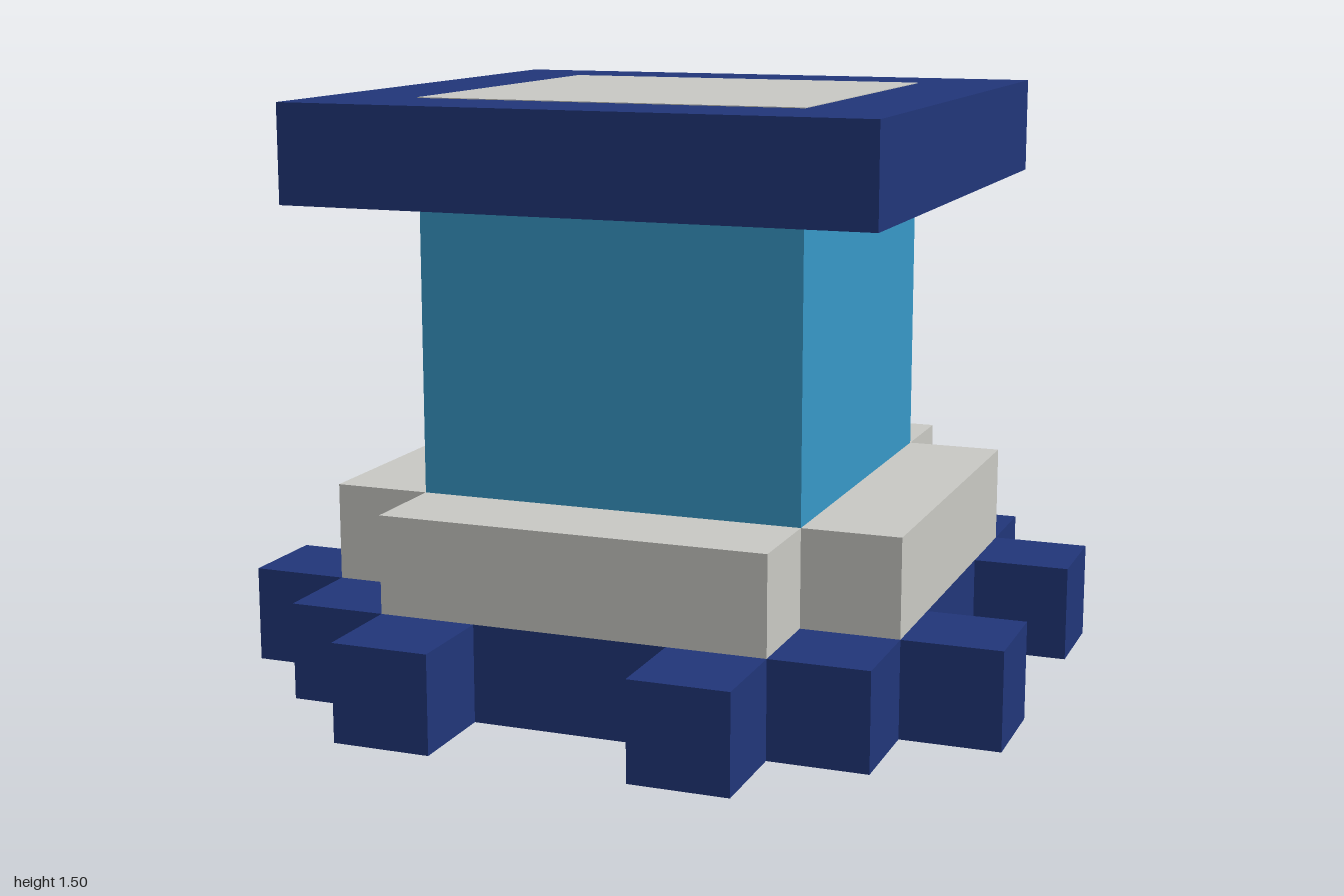
import * as THREE from 'three';

const material = (name, color) => {
  const m = new THREE.MeshStandardMaterial({ color });
  m.name = name;
  return m;
};

const shapeFrom = (points) => new THREE.Shape(points.map(([x, y]) => new THREE.Vector2(x, y)));

// Repeat one quarter of an outline around the vertical axis
function fourfold(quarter) {
  const points = [];
  for (let i = 0; i < 4; i++) {
    for (const [x, y] of quarter) {
      points.push([[x, y], [-y, x], [-x, -y], [y, -x]][i]);
    }
  }
  return points;
}

// Upright prism on a ground-plan outline
function prism(points, bottom, top) {
  const geometry = new THREE.ExtrudeGeometry(shapeFrom(points), { depth: top - bottom, bevelEnabled: false });
  return geometry.rotateX(-Math.PI / 2).translate(0, bottom, 0);
}

function box(size, bottom, top) {
  return new THREE.BoxGeometry(size, top - bottom, size).translate(0, (bottom + top) / 2, 0);
}

export function createModel() {
  const navy = material('navy', 0x21367a);
  const blue = material('sky blue', 0x3899c8);
  const stone = material('light stone', 0xcacac5);

  const model = new THREE.Group();
  model.name = 'pedestal';
  const add = (name, geometry, mat) => {
    const mesh = new THREE.Mesh(geometry, mat);
    mesh.name = name;
    model.add(mesh);
  };

  // Square foot with two teeth on every side
  const foot = fourfold([
    [0.75, -0.75], [0.75, -0.5], [1, -0.5], [1, -0.25], [0.75, -0.25],
    [0.75, 0.25], [1, 0.25], [1, 0.5], [0.75, 0.5],
  ]);
  add('toothedBase', prism(foot, 0.002, 0.25), navy);

  // Stone inlay on the underside, facing down
  const inlay = shapeFrom([
    [0.25, -0.25], [0.25, 0.25], [0.75, 0.25], [0.75, 0.5],
    [-0.25, 0.5], [-0.25, 0.75], [-0.5, 0.75], [-0.5, -0.25],
  ]);
  add('undersideInlay', new THREE.ShapeGeometry(inlay).rotateX(Math.PI / 2), stone);

  // Cross-shaped step
  add('crossStep', prism(fourfold([[0.75, -0.5], [0.75, 0.5], [0.5, 0.5]]), 0.25, 0.5), stone);

  // Column, cap slab and top inlay
  add('column', box(1, 0.5, 1.25), blue);
  add('capSlab', box(1.5, 1.25, 1.498), navy);
  add('topInlay', box(1, 1.496, 1.5), stone);

  return model;
}
